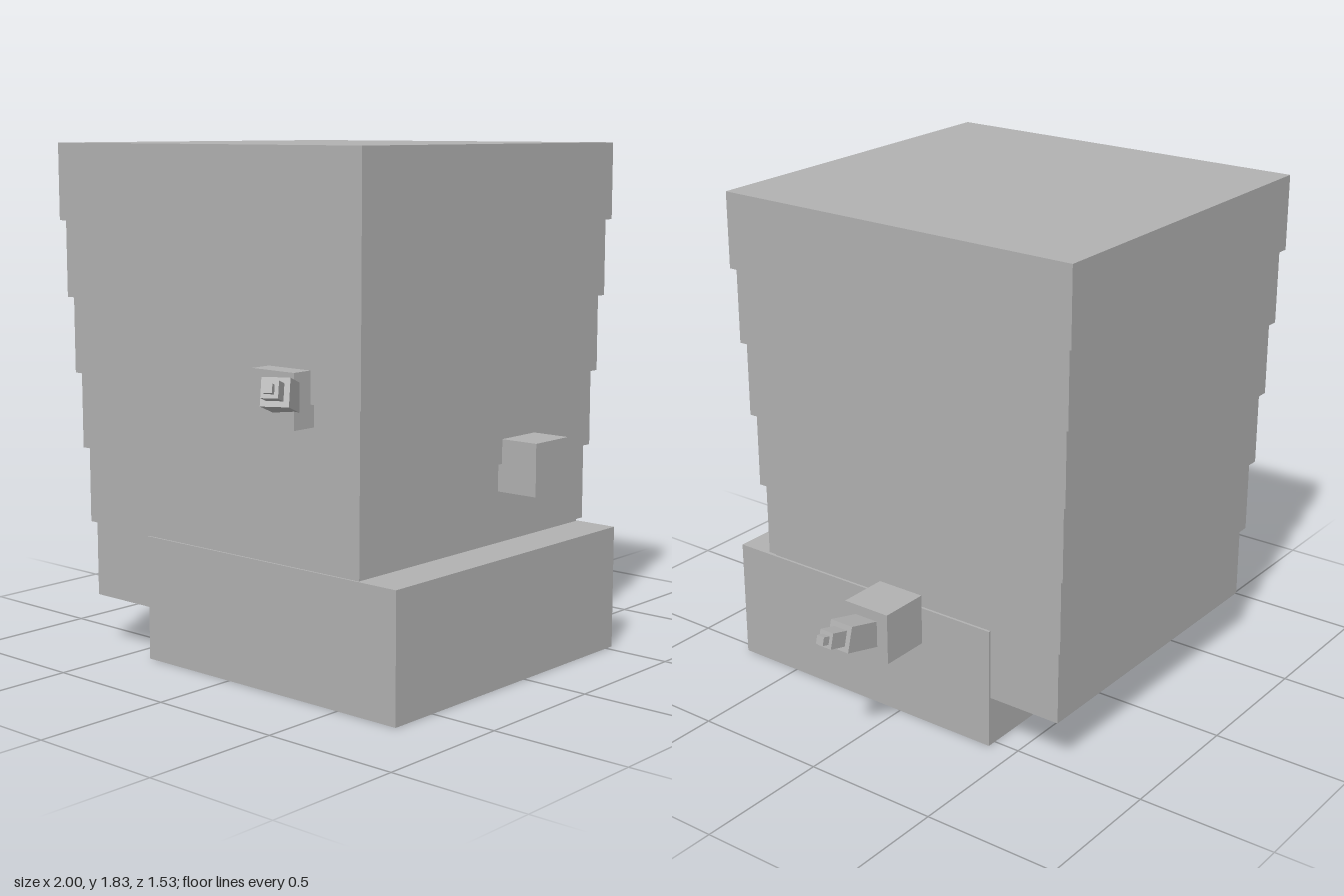
import * as THREE from 'three';

const grey = new THREE.MeshStandardMaterial({ color: 0xb0b0b0 });
grey.name = 'plain grey';

// Box given by its minimum and maximum on each axis
function box(name, [x0, x1], [y0, y1], [z0, z1]) {
  const mesh = new THREE.Mesh(new THREE.BoxGeometry(x1 - x0, y1 - y0, z1 - z0), grey);
  mesh.position.set((x0 + x1) / 2, (y0 + y1) / 2, (z0 + z1) / 2);
  mesh.name = name;
  return mesh;
}

// Cube-shaped knob of fixed size around a centre
function knob(name, x, y, z) {
  const h = 0.0925;
  return box(name, [x - h, x + h], [y - h, y + h], [z - h, z + h]);
}

// Tapering three-part spike, tilted up by 15 degrees and turned by yaw
function spike(name, position, yaw) {
  const group = new THREE.Group();
  group.name = name;
  const parts = [[-0.04, 0.143, 0.093], [0.143, 0.214, 0.056], [0.214, 0.243, 0.03]];
  parts.forEach(([from, to, width], i) => {
    const side = [-width / 2, width / 2];
    group.add(box('spikeSegment' + (i + 1), [from, to], side, side));
  });
  group.position.set(...position);
  group.rotation.set(0, yaw, Math.PI / 12, 'YZX');
  return group;
}

export function createModel() {
  const model = new THREE.Group();
  model.name = 'steppedTower';

  // Base block, shifted to the front
  model.add(box('base', [-0.685, 0.535], [0, 0.447], [-0.4, 0.75]));

  // Six layers widening upwards
  const step = 0.273;
  for (let i = 0; i < 6; i++) {
    const hx = 0.602 + i * 0.0151;
    const hz = 0.635 + i * 0.016;
    const y = 0.187 + i * step;
    model.add(box('layer' + (i + 1), [-0.076 - hx, -0.076 + hx], [y, y + step], [-0.046 - hz, -0.046 + hz]));
  }

  // Knobs on the front and both sides
  model.add(knob('frontKnob', 0.122, 0.727, 0.672));
  model.add(knob('leftKnob', 0.668, 0.43, -0.048));
  model.add(knob('rightKnob', -0.708, 1.023, 0.332));

  // Spikes growing from the side knobs
  model.add(spike('leftSpike', [0.76, 0.437, -0.048], 0));
  model.add(spike('rightSpike', [-0.79, 1.032, 0.379], -Math.PI * 5 / 6));

  return model;
}
